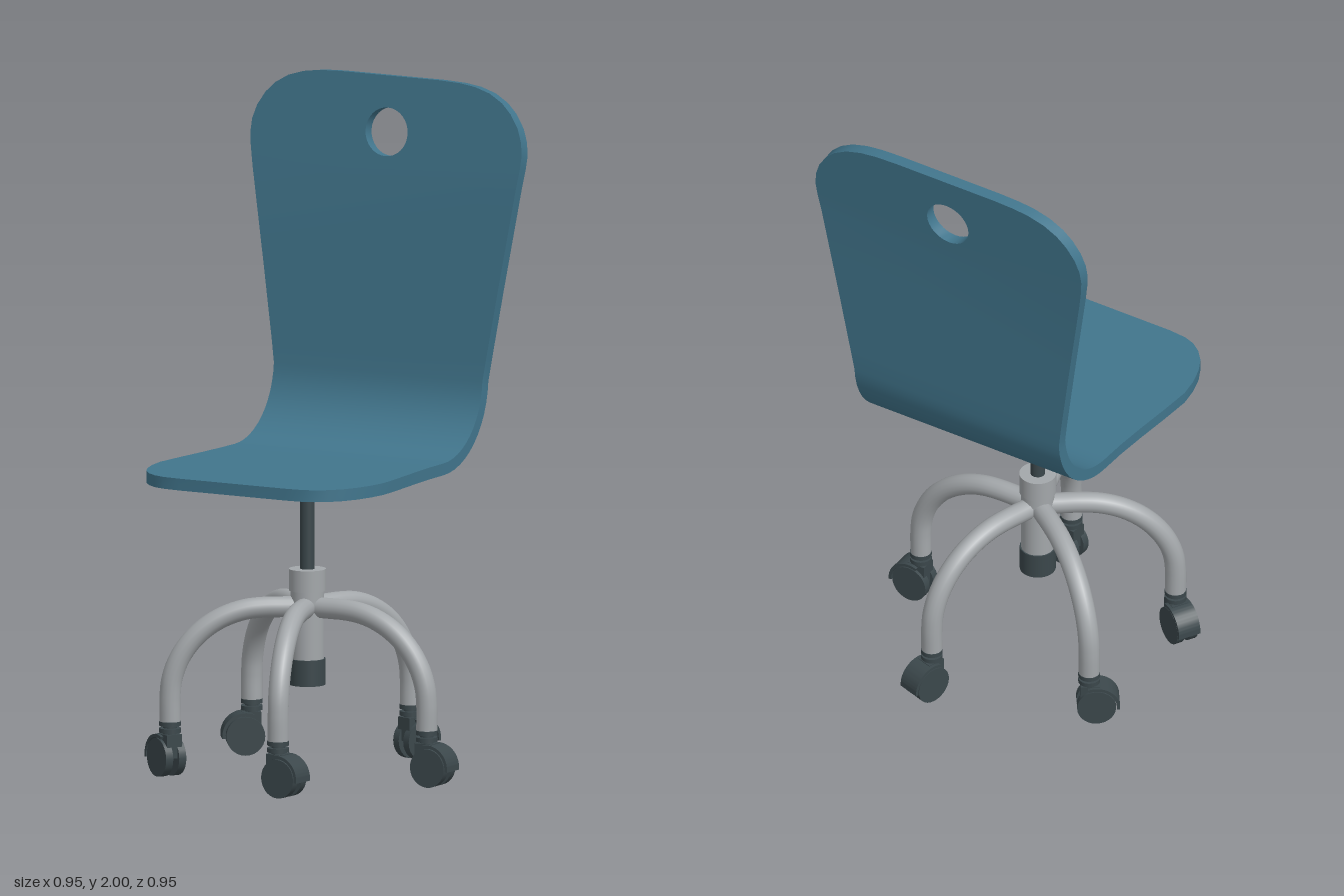
import * as THREE from 'three';
import { toCreasedNormals } from 'three/addons/utils/BufferGeometryUtils.js';

const CX = -0.018, CZ = 0.036; // axis of the column

function mat(name, color) {
  const m = new THREE.MeshStandardMaterial({ color });
  m.name = name;
  return m;
}

function add(parent, name, geometry, material, x = 0, y = 0, z = 0) {
  const m = new THREE.Mesh(geometry, material);
  m.name = name;
  m.position.set(x, y, z);
  parent.add(m);
  return m;
}

// Bent plywood shell: planar strips between rows of [z, y, half width]
function shellGeometry(thickness) {
  const rows = [
    [0.475, 0.908, 0.18], [0.47, 0.908, 0.235], [0.458, 0.908, 0.27], [0.435, 0.908, 0.302],
    [0.4, 0.908, 0.332], [0.355, 0.908, 0.354], [0.3, 0.908, 0.37], [0.24, 0.908, 0.378],
    [0.14, 0.908, 0.371], [0.03, 0.908, 0.361], [-0.07, 0.908, 0.354],
  ];
  for (let i = 0; i <= 12; i++) {
    const a = (i / 12) * 1.5;
    rows.push([-0.15 - 0.242 * Math.sin(a), 1.15 - 0.242 * Math.cos(a), 0.352]);
  }
  rows.push([-0.396, 1.2, 0.362], [-0.408, 1.4, 0.394], [-0.426, 1.7, 0.444]);
  const kink = rows.length - 1;
  // rounded top corners, all in one plane
  const top = [[1.76, 0.454], [1.8, 0.458], [1.84, 0.454], [1.88, 0.44], [1.92, 0.414],
    [1.95, 0.383], [1.975, 0.34], [1.99, 0.29], [1.997, 0.24], [2.0, 0.17]];
  const slope = (-0.458 + 0.426) / 0.3;
  const zAt = y => -0.426 + (y - 1.7) * slope;

  const normalAt = i => {
    const a = rows[Math.max(i - 1, 0)], b = i < kink ? rows[i + 1] : [zAt(2), 2];
    const n = new THREE.Vector2(b[1] - a[1], a[0] - b[0]); // (z, y)
    return n.normalize();
  };
  const topNormal = new THREE.Vector2(1, -slope).normalize();
  const pos = [];
  const put = (p, side) => {
    const o = side * thickness / 2;
    pos.push(p.x + CX, p.y + p.n.y * o, p.z + p.n.x * o);
  };
  const rowPoint = (i, s) => ({ x: s * rows[i][2], y: rows[i][1], z: rows[i][0], n: normalAt(i) });
  const topPoint = (x, y) => ({ x, y, z: zAt(y), n: topNormal });
  const wall = (a, b) => {
    put(a, -1); put(b, -1); put(b, 1);
    put(a, -1); put(b, 1); put(a, 1);
  };
  const face = (a, b, c) => {
    [a, b, c].forEach(p => put(p, 1));
    [a, c, b].forEach(p => put(p, -1));
  };

  // seat, bend and lower back
  for (let i = 0; i < kink; i++) {
    const a = rowPoint(i, -1), b = rowPoint(i, 1), c = rowPoint(i + 1, 1), d = rowPoint(i + 1, -1);
    face(a, b, c);
    face(a, c, d);
    wall(b, c);
    wall(d, a);
  }
  wall(rowPoint(0, -1), rowPoint(0, 1));

  // upper back with the round grip hole
  const outline = [rowPoint(kink, -1), rowPoint(kink, 1),
    ...top.map(([y, w]) => topPoint(w, y)),
    ...top.slice().reverse().map(([y, w]) => topPoint(-w, y))];
  const hole = [];
  for (let i = 0; i < 32; i++) {
    const a = -i / 32 * Math.PI * 2;
    hole.push(topPoint(0.071 * Math.cos(a), 1.836 + 0.071 * Math.sin(a)));
  }
  const flat = list => list.map(p => new THREE.Vector2(p.x, p.y));
  const all = [...outline, ...hole];
  THREE.ShapeUtils.triangulateShape(flat(outline), [flat(hole)])
    .forEach(([a, b, c]) => face(all[a], all[b], all[c]));
  for (let i = 1; i < outline.length; i++) wall(outline[i], outline[(i + 1) % outline.length]);
  hole.forEach((p, i) => wall(p, hole[(i + 1) % hole.length]));

  const g = new THREE.BufferGeometry();
  g.setAttribute('position', new THREE.Float32BufferAttribute(pos, 3));
  return toCreasedNormals(g, 0.6);
}

// Twin-wheel caster, trailing towards its own +x
function makeCaster(dark) {
  const caster = new THREE.Group();
  caster.name = 'caster';
  add(caster, 'casterStem', new THREE.CylinderGeometry(0.02, 0.02, 0.06, 16), dark, 0, 0.14, 0);
  for (const y of [0.141, 0.161]) {
    add(caster, 'casterCollar', new THREE.CylinderGeometry(0.032, 0.032, 0.013, 24), dark, 0, y, 0);
  }
  add(caster, 'casterBody', new THREE.BoxGeometry(0.056, 0.07, 0.05), dark, 0.002, 0.095, 0);
  for (const s of [-1, 1]) {
    const wheel = add(caster, 'wheel', new THREE.CylinderGeometry(0.057, 0.057, 0.024, 28), dark, 0.02, 0.06, s * 0.022);
    wheel.rotation.x = Math.PI / 2;
  }
  const hood = new THREE.Shape();
  hood.absarc(0, 0, 0.069, -0.1, 1.95, false);
  hood.absarc(0, 0, 0.06, 1.95, -0.1, true);
  const hoodGeo = new THREE.ExtrudeGeometry(hood, { depth: 0.07, bevelEnabled: false, curveSegments: 14 });
  add(caster, 'wheelHood', toCreasedNormals(hoodGeo, 0.6), dark, 0.02, 0.06, -0.035);
  return caster;
}

export function createModel() {
  const teal = mat('teal shell', 0x41758c);
  const grey = mat('grey metal', 0xa3a7aa);
  const dark = mat('dark plastic', 0x3b474b);
  const model = new THREE.Group();
  model.name = 'swivelChair';

  add(model, 'seatShell', shellGeometry(0.035), teal);

  const base = new THREE.Group();
  base.name = 'base';
  base.position.set(CX, 0, CZ);
  model.add(base);

  // stepped mounting plate under the seat
  [[0.19, 0.886], [0.13, 0.879], [0.08, 0.871]].forEach(([w, y]) =>
    add(base, 'mountingPlate', new THREE.BoxGeometry(w, 0.009, w), dark, 0, y, 0));

  // gas lift column
  const tube = (name, r, y0, y1, m) =>
    add(base, name, new THREE.CylinderGeometry(r, r, y1 - y0, 32), m, 0, (y0 + y1) / 2, 0);
  tube('piston', 0.021, 0.6, 0.872, dark);
  tube('topCollar', 0.054, 0.548, 0.612, grey);
  tube('column', 0.049, 0.345, 0.55, grey);
  tube('columnFoot', 0.053, 0.27, 0.347, dark);

  // five arched legs with casters
  const path = [new THREE.Vector3(0.02, 0.5, 0), new THREE.Vector3(0.07, 0.5, 0)];
  for (let i = 0; i <= 8; i++) {
    const a = (i / 8) * Math.PI / 2;
    path.push(new THREE.Vector3(0.123 + 0.28 * Math.sin(a), 0.24 + 0.26 * Math.cos(a), 0));
  }
  path.push(new THREE.Vector3(0.403, 0.165, 0));
  const legGeo = new THREE.TubeGeometry(new THREE.CatmullRomCurve3(path), 40, 0.031, 16);
  const casterHeadings = [0, 5, 210, 145, 288]; // degrees from +x towards +z
  casterHeadings.forEach((heading, i) => {
    const angle = i * Math.PI * 2 / 5;
    const leg = add(base, 'leg', legGeo, grey);
    leg.rotation.y = -angle;
    const caster = makeCaster(dark);
    caster.position.set(0.403 * Math.cos(angle), 0, 0.403 * Math.sin(angle));
    caster.rotation.y = -THREE.MathUtils.degToRad(heading);
    base.add(caster);
  });
  return model;
}
